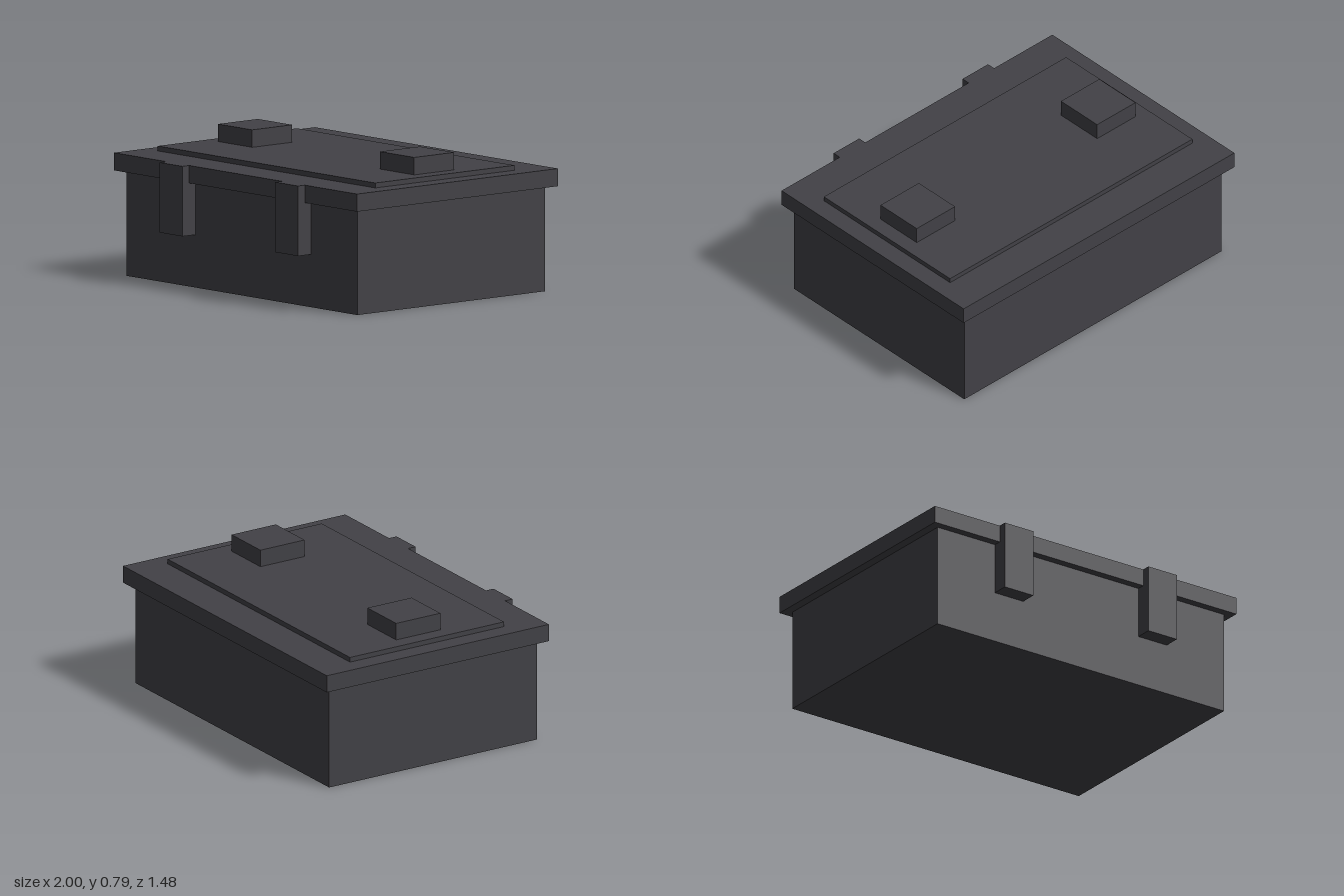
import * as THREE from 'three';

export function createModel() {
  const model = new THREE.Group();
  const charcoal = new THREE.MeshStandardMaterial({ color: 0x424146 });
  charcoal.name = 'charcoal';

  // Box given by its extents on each axis
  function box(name, [x0, x1], [y0, y1], [z0, z1]) {
    const mesh = new THREE.Mesh(new THREE.BoxGeometry(x1 - x0, y1 - y0, z1 - z0), charcoal);
    mesh.position.set((x0 + x1) / 2, (y0 + y1) / 2, (z0 + z1) / 2);
    mesh.name = name;
    model.add(mesh);
  }

  // Case, overhanging lid and raised panel
  box('caseBody', [-0.95, 0.95], [0, 0.575], [-0.69, 0.645]);
  box('lid', [-1, 1], [0.572, 0.668], [-0.738, 0.69]);
  box('lidPanel', [-0.895, 0.895], [0.668, 0.695], [-0.52, 0.47]);

  // Terminals on top and latches on the front, mirrored
  for (const [side, s] of [['left', 1], ['right', -1]]) {
    const span = (a, b) => (s > 0 ? [a, b] : [-b, -a]);
    box(side + 'Terminal', span(0.525, 0.808), [0.695, 0.79], [-0.166, 0.118]);
    // Latch: a strap below the lid and a short piece over its edge
    box(side + 'LatchStrap', span(0.382, 0.57), [0.287, 0.572], [0.645, 0.738]);
    box(side + 'LatchTop', span(0.382, 0.57), [0.572, 0.668], [0.69, 0.738]);
  }
  return model;
}
